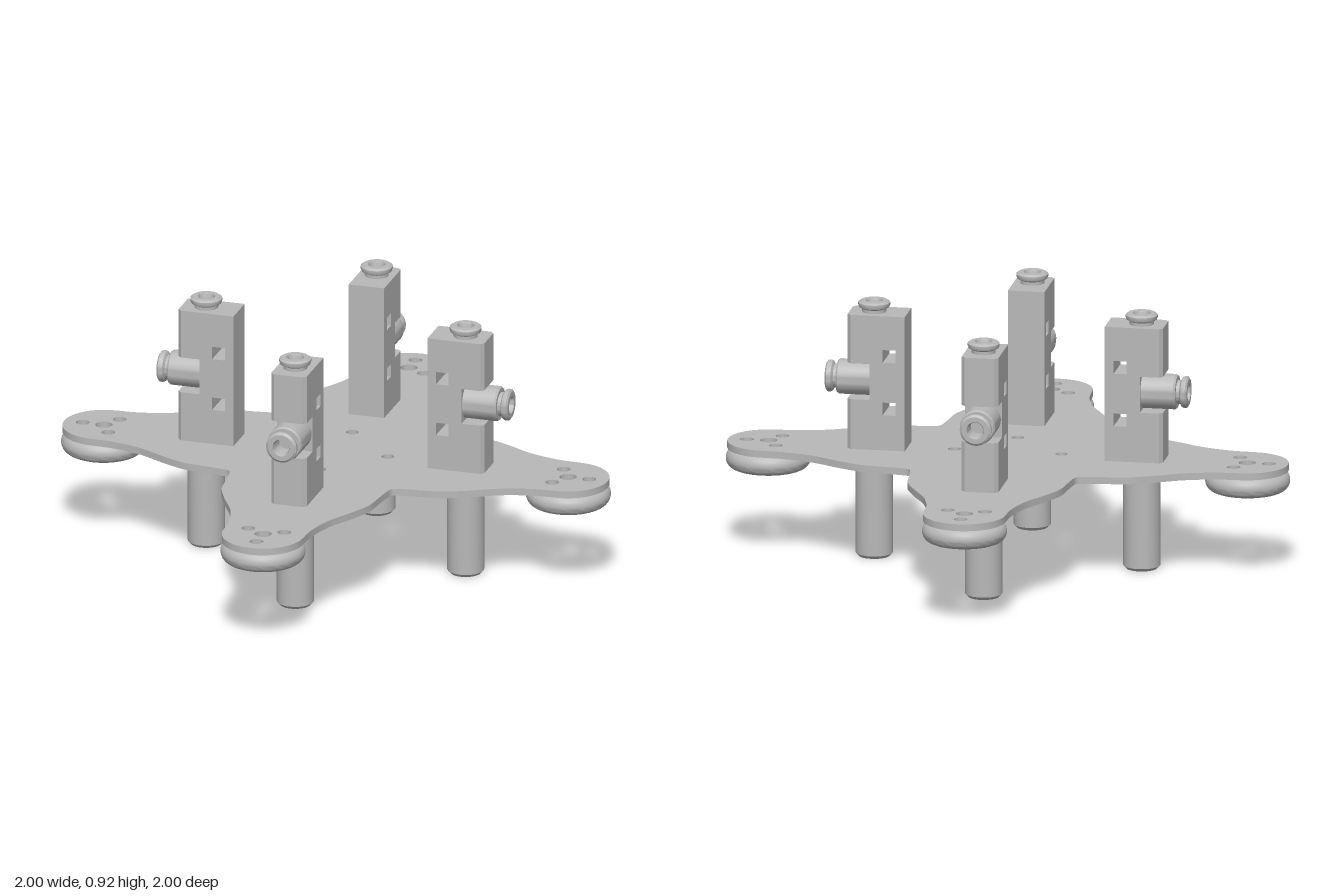
import * as THREE from 'three';
import { toCreasedNormals } from 'three/addons/utils/BufferGeometryUtils.js';

const grey = new THREE.MeshStandardMaterial({ color: 0xb8b8b8 });
grey.name = 'light grey';

function part(name, geometry, crease = 0.6) {
  const mesh = new THREE.Mesh(toCreasedNormals(geometry, crease), grey);
  mesh.name = name;
  return mesh;
}

const lathe = (pts, seg = 40) =>
  new THREE.LatheGeometry(pts.map(([r, y]) => new THREE.Vector2(r, y)), seg);

const extrude = (shape, depth) =>
  new THREE.ExtrudeGeometry(shape, { depth, bevelEnabled: false, curveSegments: 24 });

function hole(shape, x, y, r) {
  shape.holes.push(new THREE.Path().absarc(x, y, r, 0, Math.PI * 2, true));
}

function polygon(pts, Type = THREE.Shape) {
  return new Type(pts.map(([x, y]) => new THREE.Vector2(x, y)));
}

// Four-armed plate: rounded tips joined by smooth inward corners
function createPlate() {
  const flank = [[0.85, 0.145], [0.77, 0.15], [0.66, 0.18], [0.555, 0.235],
    [0.47, 0.271], [0.40, 0.28], [0.335, 0.288]];
  const corner = [...flank, [0.298, 0.298], ...flank.map(([x, y]) => [y, x]).reverse()];
  const curve = new THREE.CatmullRomCurve3(corner.map(([x, y]) => new THREE.Vector3(x, y, 0)));
  const quarter = [];
  for (let i = 0; i < 16; i++) {
    const a = -Math.PI / 2 + (i / 16) * Math.PI;
    quarter.push([0.85 + 0.145 * Math.cos(a), 0.145 * Math.sin(a)]);
  }
  curve.getPoints(56).slice(0, -1).forEach((p) => quarter.push([p.x, p.y]));

  const outline = [];
  const turn = ([x, y], k) => {
    const c = [1, 0, -1, 0][k], s = [0, 1, 0, -1][k];
    return [x * c - y * s, x * s + y * c];
  };
  for (let k = 0; k < 4; k++) quarter.forEach((p) => outline.push(turn(p, k)));
  const shape = polygon(outline);

  // Bolt holes at each tip and around the middle
  const holes = [[0.85, 0, 0.03], [0.927, 0, 0.024], [0.813, 0.066, 0.024],
    [0.813, -0.066, 0.024], [0.19, 0, 0.022]];
  for (let k = 0; k < 4; k++) {
    holes.forEach(([x, y, r]) => hole(shape, ...turn([x, y], k), r));
  }
  const geometry = extrude(shape, 0.025);
  geometry.rotateX(-Math.PI / 2).translate(0, 0.375, 0);
  return part('plate', geometry);
}

// Rounded ring under an arm tip
function createRing() {
  const pts = [[0.108, 0.306], [0.115, 0.303]];
  for (let i = 0; i <= 12; i++) {
    const a = -Math.PI / 2 + (i / 12) * Math.PI;
    pts.push([0.115 + 0.034 * Math.cos(a), 0.339 + 0.036 * Math.sin(a)]);
  }
  pts.push([0.108, 0.375], [0.108, 0.306]);
  const ring = part('footRing', lathe(pts, 48));
  ring.position.x = 0.851;
  return ring;
}

// Valve block with side notch and two square through-holes
function createBody() {
  const group = new THREE.Group();
  group.name = 'valveBody';
  const shape = polygon([[0.355, 0.4], [0.548, 0.4], [0.548, 0.58], [0.48, 0.58],
    [0.48, 0.71], [0.548, 0.71], [0.548, 0.885], [0.355, 0.885]]);
  for (const y of [0.55, 0.74]) {
    const h = 0.023;
    shape.holes.push(polygon([[0.41 - h, y - h], [0.41 - h, y + h],
      [0.41 + h, y + h], [0.41 + h, y - h]], THREE.Path));
  }
  group.add(part('block', extrude(shape, 0.13).translate(0, 0, -0.065)));
  // Chamfered outer edge, above and below the notch
  const edge = polygon([[0.548, -0.065], [0.56, -0.052], [0.56, 0.052], [0.548, 0.065]]);
  for (const [y0, y1] of [[0.4, 0.58], [0.71, 0.885]]) {
    group.add(part('chamferedEdge', extrude(edge, y1 - y0).rotateX(-Math.PI / 2).translate(0, y0, 0)));
  }
  return group;
}

// Hollow push-in collar, base at y = 0
const collar = [[0.042, 0], [0.042, 0.012], [0.053, 0.018], [0.056, 0.025],
  [0.056, 0.034], [0.048, 0.04], [0.031, 0.04], [0.028, 0.034], [0.028, -0.03], [0, -0.03]];

function createArm() {
  const arm = new THREE.Group();
  arm.name = 'arm';
  arm.add(createRing(), createBody());

  // Rod hanging below the plate
  const rod = part('rod', lathe([[0, 0.003], [0.055, 0.003], [0.065, 0.014], [0.065, 0.38], [0, 0.38]]));
  rod.position.x = 0.475;

  // Top port
  const top = part('topPort', lathe(collar));
  top.position.set(0.475, 0.885, 0);

  // Side port: barrel seated in the notch, then the collar
  const barrel = [[0, 0], [0.062, 0], [0.062, 0.115], [0.057, 0.122]];
  const side = part('sidePort', lathe([...barrel, ...collar.map(([r, y]) => [r, y + 0.122])]));
  side.rotation.z = -Math.PI / 2;
  side.position.set(0.481, 0.645, 0);

  arm.add(rod, top, side);
  return arm;
}

export function createModel() {
  const model = new THREE.Group();
  model.name = 'fourArmValveMount';
  model.add(createPlate());
  for (let k = 0; k < 4; k++) {
    const arm = createArm();
    arm.rotation.y = (k * Math.PI) / 2;
    model.add(arm);
  }
  return model;
}
